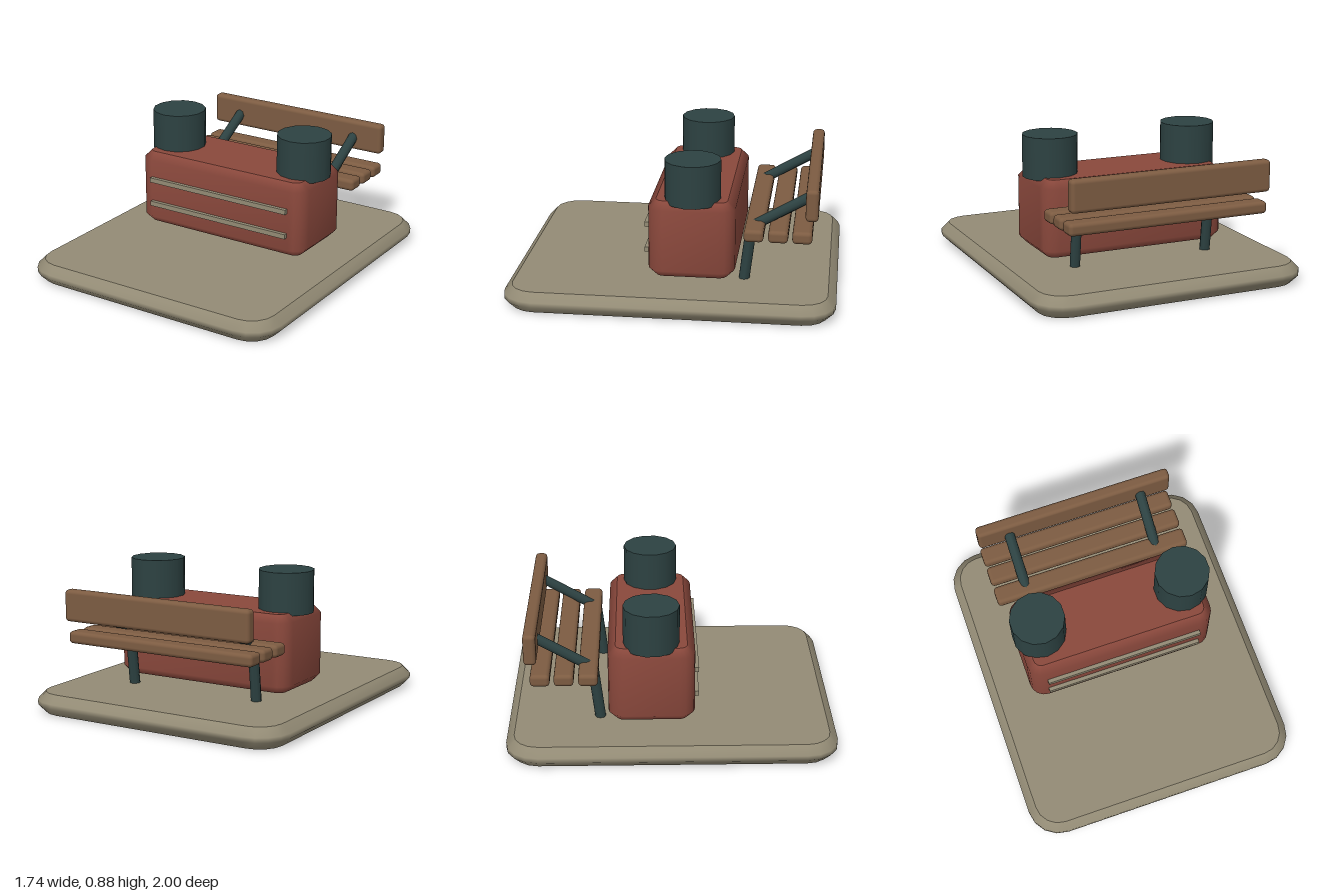
import * as THREE from 'three';
import { RoundedBoxGeometry } from 'three/addons/geometries/RoundedBoxGeometry.js';

const material = (name, color) => {
  const m = new THREE.MeshStandardMaterial({ color });
  m.name = name;
  return m;
};

// Rounded rectangle loop in x/z, centred on the origin
function roundedLoop(halfX, halfZ, radius, segments) {
  const points = [];
  for (let corner = 0; corner < 4; corner++) {
    const sx = corner === 0 || corner === 3 ? 1 : -1;
    const sz = corner < 2 ? 1 : -1;
    for (let i = 0; i <= segments; i++) {
      const a = (corner + i / segments) * Math.PI / 2;
      points.push([sx * (halfX - radius) + radius * Math.cos(a), sz * (halfZ - radius) + radius * Math.sin(a)]);
    }
  }
  return points;
}

// Upright rounded slab: softly shaded chamfered wall, crisp flat top and bottom
function chamferedSlab(width, height, depth, radius, bevel, segments) {
  const profile = [[bevel, 0], [0, bevel], [0, height - bevel], [bevel, height]];
  const loops = profile.map(([inset, y]) =>
    roundedLoop(width / 2 - inset, depth / 2 - inset, radius - inset, segments).map(([x, z]) => [x, y, z]));
  const n = loops[0].length;
  const positions = loops.flat(2);
  const index = [];
  for (let r = 0; r < loops.length - 1; r++) {
    for (let i = 0; i < n; i++) {
      const a = r * n + i, b = r * n + (i + 1) % n;
      index.push(a, a + n, b, b, a + n, b + n);
    }
  }
  const bottom = positions.length / 3;
  positions.push(...loops[0].flat(), ...loops[3].flat());
  for (let i = 1; i < n - 1; i++) {
    index.push(bottom, bottom + i, bottom + i + 1);
    index.push(bottom + n, bottom + n + i + 1, bottom + n + i);
  }
  const geometry = new THREE.BufferGeometry();
  geometry.setAttribute('position', new THREE.Float32BufferAttribute(positions, 3));
  geometry.setIndex(index);
  geometry.computeVertexNormals();
  return geometry;
}

export function createModel() {
  const model = new THREE.Group();
  const stone = material('stone', 0x938b75);
  const red = material('brick red', 0x8a483c);
  const wood = material('wood', 0x7d5c42);
  const iron = material('dark iron', 0x2d4242);

  const add = (name, geometry, mat, x, y, z, parent = model) => {
    const mesh = new THREE.Mesh(geometry, mat);
    mesh.name = name;
    mesh.position.set(x, y, z);
    parent.add(mesh);
    return mesh;
  };

  // Ground slab and the red block floating just above it
  add('baseSlab', chamferedSlab(1.74, 0.13, 2, 0.2, 0.05, 4), stone, 0, 0, 0);
  add('body', chamferedSlab(1.21, 0.48, 0.525, 0.095, 0.047, 4), red, 0, 0.165, -0.122);

  // Trim strips on the front
  for (const y of [0.311, 0.472]) {
    add('trimStrip', new THREE.BoxGeometry(1.01, 0.031, 0.03), stone, 0, y, 0.15);
  }

  // Drums on top
  for (const side of [-1, 1]) {
    add('drum', new THREE.CylinderGeometry(0.17, 0.17, 0.26, 14), iron, side * 0.467, 0.755, -0.122);
  }

  // Bench: seat slats, backrest and bent supports
  const bench = new THREE.Group();
  bench.name = 'bench';
  model.add(bench);
  for (const z of [-0.5, -0.645, -0.787]) {
    add('seatSlat', new RoundedBoxGeometry(1.285, 0.076, 0.118, 2, 0.024), wood, 0, 0.472, z, bench);
  }
  add('backrest', new RoundedBoxGeometry(1.285, 0.195, 0.076, 2, 0.024), wood, 0, 0.673, -0.84, bench);

  const bar = (name, from, to) => {
    const direction = to.clone().sub(from);
    const mesh = add(name, new THREE.CylinderGeometry(0.033, 0.033, direction.length(), 8), iron, 0, 0, 0, bench);
    mesh.position.copy(from).add(to).multiplyScalar(0.5);
    mesh.quaternion.setFromUnitVectors(new THREE.Vector3(0, 1, 0), direction.normalize());
  };
  for (const side of [-1, 1]) {
    const foot = new THREE.Vector3(side * 0.44, 0.12, -0.435);
    const knee = new THREE.Vector3(side * 0.44, 0.465, -0.475);
    const top = new THREE.Vector3(side * 0.44, 0.665, -0.82);
    bar('benchLeg', foot, knee);
    bar('backSupport', knee, top);
  }
  return model;
}
